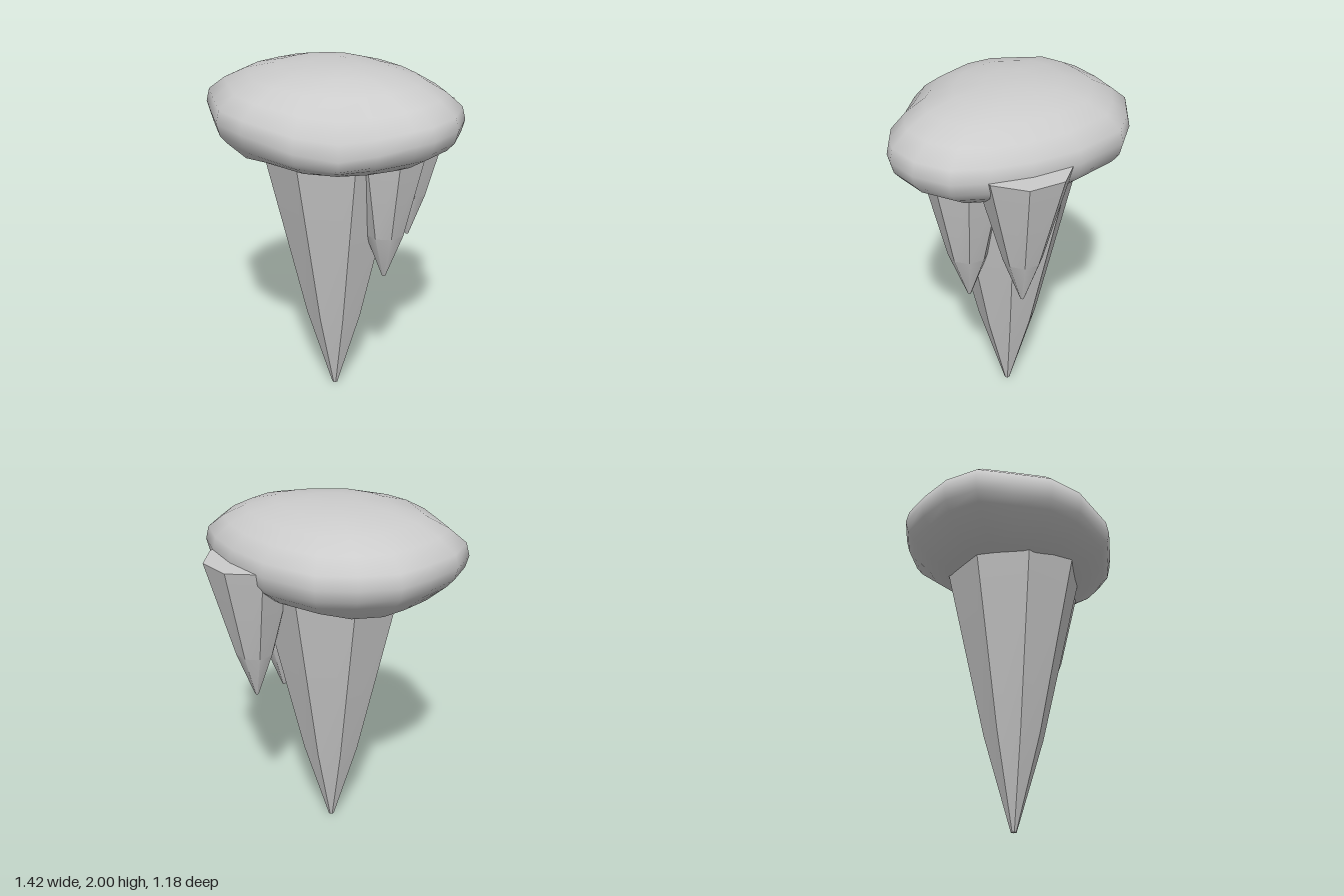
import * as THREE from 'three';
import { toCreasedNormals } from 'three/addons/utils/BufferGeometryUtils.js';

const material = new THREE.MeshStandardMaterial({ color: 0xcccccc });

// Skins a stack of equal rings (bottom to top, each turning from +x to +z) and closes both ends.
function loft(name, rings, crease) {
  const n = rings[0].length, last = (rings.length - 1) * n, index = [];
  const centre = ring => ring
    .reduce((sum, p) => sum.add(p), new THREE.Vector3()).divideScalar(n);
  const points = [...rings.flat(), centre(rings[0]), centre(rings[rings.length - 1])];
  for (let j = 0; j < n; j++) {
    const k = (j + 1) % n;
    for (let r = 0; r < last; r += n) {
      index.push(r + j, r + n + j, r + k, r + k, r + n + j, r + n + k);
    }
    index.push(last + n, j, k, last + n + 1, last + k, last + j);
  }
  const geometry = new THREE.BufferGeometry().setFromPoints(points);
  geometry.setIndex(index);
  const mesh = new THREE.Mesh(toCreasedNormals(geometry, crease), material);
  mesh.name = name;
  return mesh;
}

// Eight-sided icicle: levels are [y, radius] from the tip upwards.
function icicle(name, x, z, levels) {
  const rings = levels.map(([y, radius]) => Array.from({ length: 8 }, (_, i) => {
    const a = i * Math.PI / 4;
    return new THREE.Vector3(x + radius * Math.cos(a), y, z + radius * Math.sin(a));
  }));
  return loft(name, rings, 0.75);
}

// Lumpy cap: one rim outline scaled through a rounded profile.
function snowCap() {
  const rim = [
    [0.71, 0], [0.67, 0.19], [0.61, 0.275], [0.47, 0.405], [0.3, 0.495],
    [0.1, 0.59], [-0.21, 0.577], [-0.41, 0.505], [-0.56, 0.35], [-0.7, 0.2],
    [-0.712, 0], [-0.65, -0.2], [-0.57, -0.375], [-0.4, -0.5], [-0.21, -0.585],
    [0.1, -0.55], [0.35, -0.45], [0.53, -0.33], [0.665, -0.195],
  ];
  const profile = [ // [scale, y, share of the rim sag]
    [0.3, 1.53, 0], [0.58, 1.515, 0.1], [0.77, 1.56, 0.3], [0.92, 1.63, 0.6],
    [0.975, 1.675, 0.9], [1, 1.74, 1], [0.975, 1.81, 0.8], [0.85, 1.88, 0.5],
    [0.68, 1.94, 0.2], [0.45, 1.98, 0], [0.2, 2, 0],
  ];
  const rings = profile.map(([scale, y, share]) => rim.map(([x, z]) => {
    // the rim hangs lower at the front left, and the underside sinks at the far right
    const a = Math.atan2(z, x);
    const sag = 0.08 * Math.exp(-(((a - 1.05) / 0.45) ** 2)) * share;
    const droop = y < 1.6 && x < -0.3 ? 0.025 : 0;
    return new THREE.Vector3(x * scale, Math.max(y - sag - droop, 1.49), z * scale);
  }));
  return loft('snowCap', rings, 0.9);
}

export function createModel() {
  const group = new THREE.Group();
  group.name = 'icicleCluster';
  group.add(
    snowCap(),
    icicle('mainIcicle', 0, 0, [[0, 0.016], [0.52, 0.168], [1.62, 0.415]]),
    icicle('sideIcicle', 0.32, 0.01, [[0.83, 0.01], [1.1, 0.112], [1.63, 0.235]]),
    icicle('backIcicle', 0.29, -0.34, [[0.94, 0.01], [1.2, 0.105], [1.74, 0.252]]),
  );
  return group;
}
